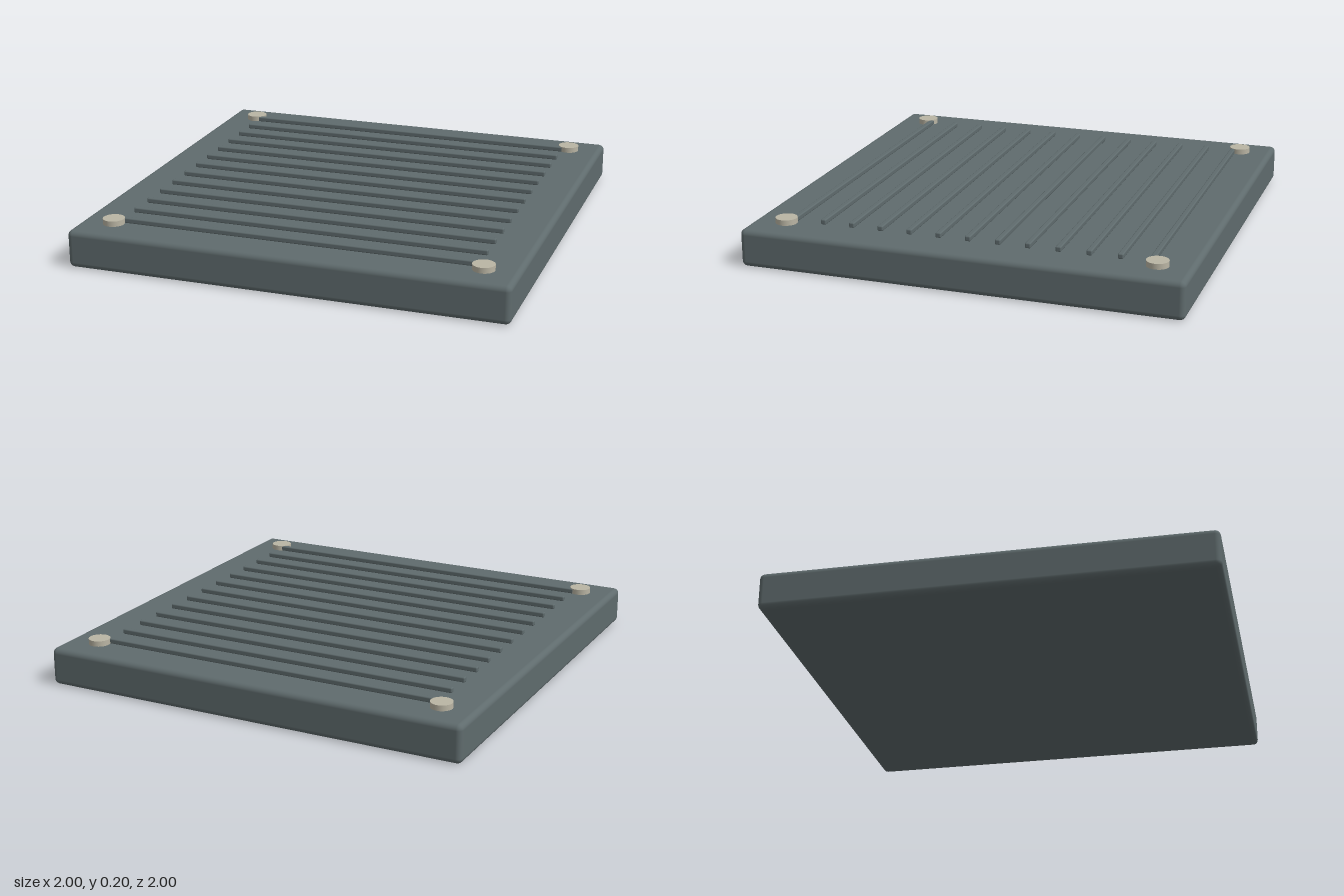
import * as THREE from 'three';
import { RoundedBoxGeometry } from 'three/addons/geometries/RoundedBoxGeometry.js';

export function createModel() {
  const group = new THREE.Group();
  const slate = new THREE.MeshStandardMaterial({ color: 0x5f6b6d });
  slate.name = 'slate grey';
  const metal = new THREE.MeshStandardMaterial({ color: 0xbab5a4 });
  metal.name = 'pale metal';

  const add = (name, geometry, material, x, y, z) => {
    const mesh = new THREE.Mesh(geometry, material);
    mesh.name = name;
    mesh.position.set(x, y, z);
    group.add(mesh);
  };

  // Thick square plate with softened edges
  const thickness = 0.172;
  add('plate', new RoundedBoxGeometry(2, thickness, 2, 4, 0.025), slate, 0, thickness / 2, 0);

  // Thirteen evenly spaced grip ribs running left to right
  const ribCount = 13, ribReach = 0.815;
  const ribGeometry = new RoundedBoxGeometry(1.645, 0.024, 0.025, 2, 0.006);
  for (let i = 0; i < ribCount; i++) {
    const z = -ribReach + (2 * ribReach * i) / (ribCount - 1);
    add('rib', ribGeometry, slate, 0, 0.183, z);
  }

  // Flat round bolt heads at the corners
  const boltGeometry = new THREE.CylinderGeometry(0.049, 0.049, 0.032, 24);
  for (const x of [-0.845, 0.845]) {
    for (const z of [-0.845, 0.845]) add('boltHead', boltGeometry, metal, x, 0.181, z);
  }

  return group;
}
